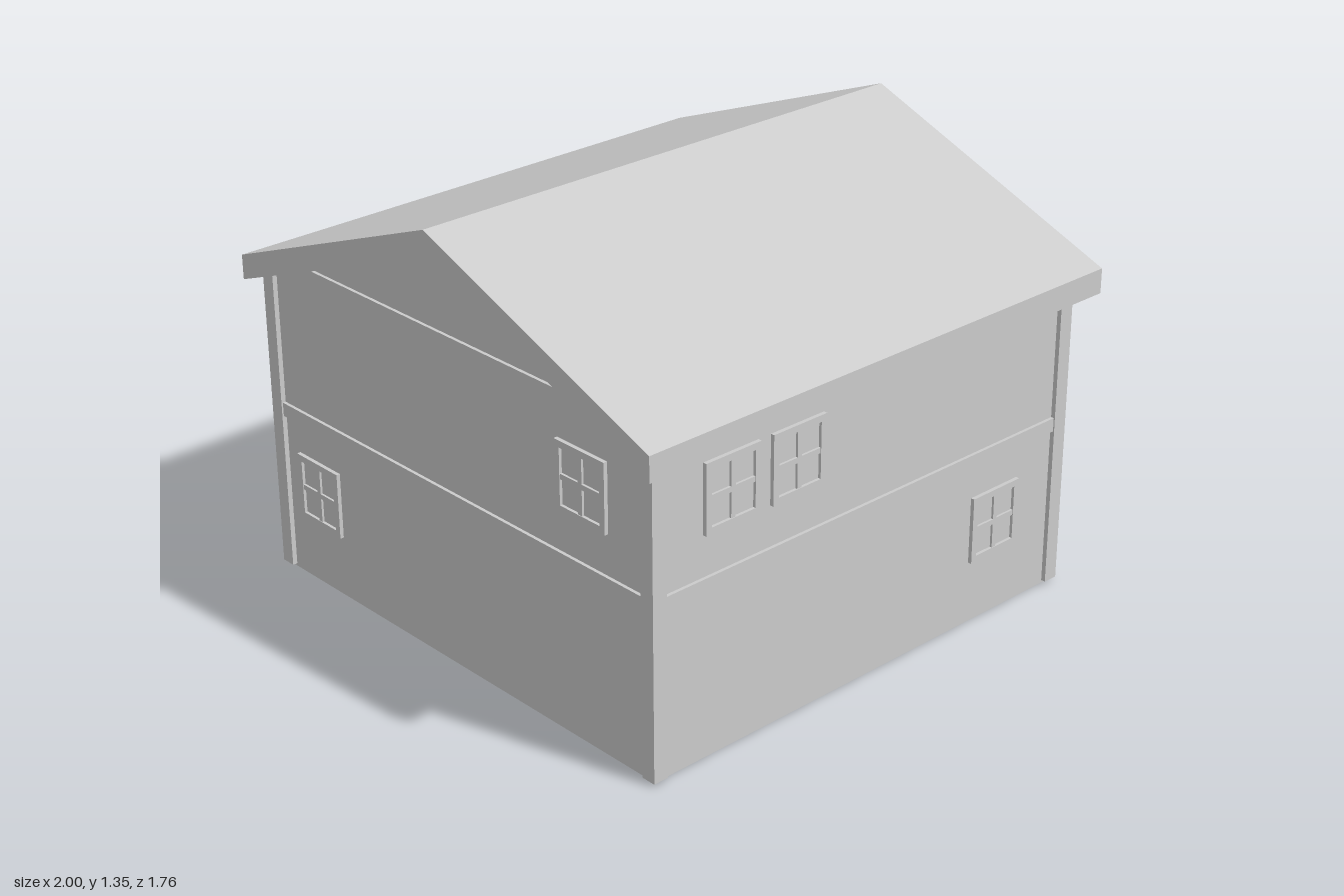
import * as THREE from 'three';

const grey = new THREE.MeshStandardMaterial({ color: 0xcccccc, flatShading: true, side: THREE.DoubleSide });

function add(parent, name, geometry) {
  const mesh = new THREE.Mesh(geometry, grey);
  mesh.name = name;
  parent.add(mesh);
  return mesh;
}

// Box given by its limits on each axis
function box(parent, name, x0, x1, y0, y1, z0, z1) {
  const mesh = add(parent, name, new THREE.BoxGeometry(x1 - x0, y1 - y0, z1 - z0));
  mesh.position.set((x0 + x1) / 2, (y0 + y1) / 2, (z0 + z1) / 2);
  return mesh;
}

function shapeOf(points) {
  return new THREE.Shape(points.map(([x, y]) => new THREE.Vector2(x, y)));
}

// Profile of [z, y] points, extruded along x from x0 to x1
function alongX(points, x0, x1) {
  const g = new THREE.ExtrudeGeometry(shapeOf(points.map(([z, y]) => [-z, y])), { depth: x1 - x0, bevelEnabled: false });
  return g.rotateY(Math.PI / 2).translate(x0, 0, 0);
}

// Rectangular rim with an open middle, in a wall's own frame
function rim(parent, name, u0, u1, v0, v1, t, d0, d1) {
  const s = shapeOf([[u0, v0], [u1, v0], [u1, v1], [u0, v1]]);
  s.holes.push(shapeOf([[u0 + t, v0 + t], [u0 + t, v1 - t], [u1 - t, v1 - t], [u1 - t, v0 + t]]));
  const g = new THREE.ExtrudeGeometry(s, { depth: d1 - d0, bevelEnabled: false });
  add(parent, name, g.translate(0, 0, d0));
}

function windowAt(wall, u, v, w = 0.195, h = 0.208, panes = true) {
  const g = new THREE.Group();
  g.name = 'window';
  g.position.set(u, v, 0);
  rim(g, 'windowFrame', -w / 2, w / 2, -h / 2, h / 2, 0.02, -0.008, 0.012);
  box(g, 'windowPane', -w / 2 + 0.02, w / 2 - 0.02, -h / 2 + 0.02, h / 2 - 0.02, -0.006, 0.003);
  if (panes) {
    box(g, 'mullion', -0.008, 0.008, -h / 2 + 0.02, h / 2 - 0.02, 0, 0.01);
    box(g, 'crossbar', -w / 2 + 0.02, w / 2 - 0.02, -0.008, 0.008, 0, 0.01);
  }
  wall.add(g);
}

export function createModel() {
  const house = new THREE.Group();
  house.name = 'house';
  const X0 = -0.925, X1 = 0.665, Z0 = -0.828, Z1 = 0.808;
  const UP = 0.775, LOW = 0.3;

  // Thin walls; each has its own frame: u along the wall, v up, d outward
  function wall(name, angle, x, z, outline, bandFrom, bandTo) {
    const g = new THREE.Group();
    g.name = name;
    g.position.set(x, 0, z);
    g.rotation.y = angle;
    add(g, name + 'Panel', new THREE.ShapeGeometry(shapeOf(outline)));
    box(g, 'floorBand', bandFrom, bandTo, 0.505, 0.548, -0.01, 0.01);
    house.add(g);
    return g;
  }
  const flat = (a, b) => [[a, 0], [b, 0], [b, 0.965], [a, 0.965]];
  const gable = (a, b, peak) => [[a, 0], [b, 0], [b, 0.965], [peak, 1.275], [a, 0.965]];
  const front = wall('frontWall', 0, 0, Z1, flat(X0, X1), X0, X1);
  const back = wall('backWall', Math.PI, 0, Z0, flat(-X1, -X0), -X1, -X0);
  const right = wall('rightWall', Math.PI / 2, X1, 0, gable(-Z1, -Z0, -0.01), -Z1, -Z0);
  const left = wall('leftWall', -Math.PI / 2, X0, 0, gable(Z0, Z1, 0.01), Z0, Z1);
  for (const g of [right, left]) box(g, 'gableBand', -0.7, 0.7, 0.983, 1.022, -0.01, 0.01);

  // Windows
  for (const [u, v] of [[-0.655, UP], [-0.415, UP], [0.39, LOW]]) windowAt(front, u, v);
  for (const [u, v] of [[-0.4, UP], [0.65, UP], [0.38, LOW]]) windowAt(back, u, v);
  for (const [u, v] of [[-0.537, UP], [-0.145, UP], [0.247, UP], [-0.147, LOW], [0.247, LOW]]) windowAt(right, u, v);
  for (const [u, v] of [[-0.64, LOW], [0.54, UP]]) windowAt(left, u, v);
  windowAt(right, 0.597, 0.777, 0.33, 0.212, false);

  // Corner posts
  for (const [x0, x1] of [[-0.94, -0.892], [0.632, 0.68]])
    for (const [z0, z1] of [[0.775, 0.822], [-0.843, -0.796]])
      box(house, 'cornerPost', x0, x1, 0.008, 0.96, z0, z1);

  // Main roof; the back eave runs slightly askew
  const roof = alongX([[0.88, 0.932], [0.88, 1.008], [0.01, 1.345], [-0.88, 1.008], [-0.88, 0.932], [0.01, 1.265]], -1, 0.73);
  const p = roof.attributes.position;
  for (let i = 0; i < p.count; i++) {
    if (p.getZ(i) < -0.5 && p.getX(i) < 0) {
      p.setZ(i, -0.852);
      p.setY(i, p.getY(i) + 0.01);
    }
  }
  roof.computeVertexNormals();
  add(house, 'roof', roof);

  // Door with two raised panels
  const door = new THREE.Group();
  door.name = 'door';
  right.add(door);
  box(door, 'doorLeaf', 0.5, 0.66, 0.03, 0.385, -0.005, 0.012);
  rim(door, 'doorFrame', 0.485, 0.675, 0.025, 0.4, 0.015, -0.008, 0.02);
  rim(door, 'upperPanel', 0.523, 0.64, 0.23, 0.385, 0.008, 0.01, 0.02);
  rim(door, 'lowerPanel', 0.523, 0.64, 0.048, 0.215, 0.008, 0.01, 0.02);

  // Porch
  const porch = new THREE.Group();
  porch.name = 'porch';
  house.add(porch);
  add(porch, 'porchRoof', alongX([[-0.405, 0.427], [-0.405, 0.452], [-0.595, 0.563],
    [-0.79, 0.452], [-0.79, 0.427], [-0.595, 0.538]], X1, 0.995));
  add(porch, 'porchGable', alongX([[-0.42, 0.415], [-0.42, 0.436], [-0.595, 0.54], [-0.775, 0.436], [-0.775, 0.415]], X1, 0.95));
  for (const z of [-0.475, -0.715])
    box(porch, 'porchPost', 0.901, 0.929, 0.02, 0.418, z - 0.014, z + 0.014);

  return house;
}
